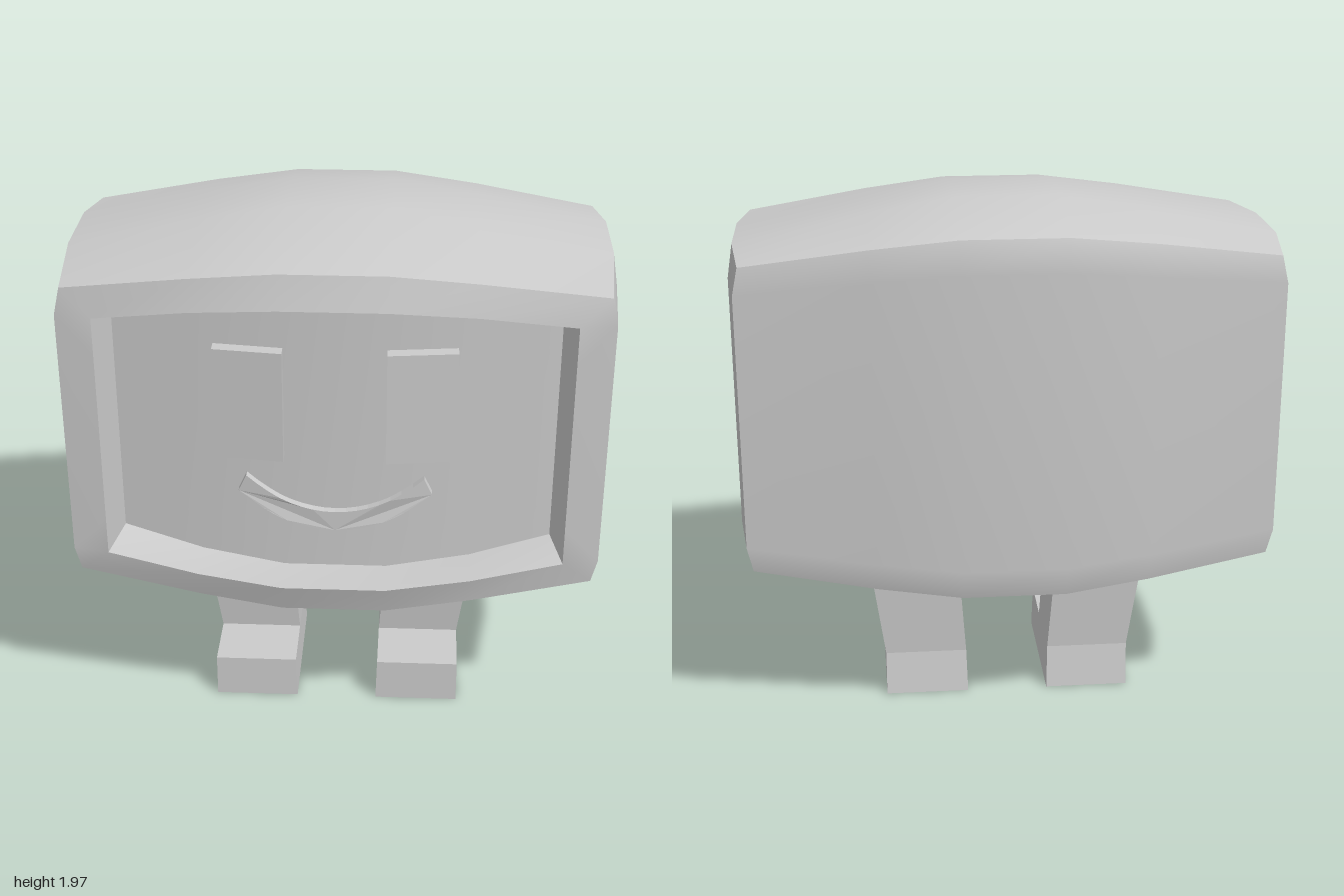
import * as THREE from 'three';
import { mergeVertices } from 'three/addons/utils/BufferGeometryUtils.js';

const material = new THREE.MeshStandardMaterial({ color: 0xcccccc });

// Grid nodes of the bulging body: positions, and how strongly each node bulges
const X = [-0.95, -0.5, -0.19, 0.19, 0.5, 0.95], WX = [0, 0.65, 1, 1, 0.65, 0];
const Z = [-0.445, -0.21, 0.1, 0.445], WYZ = [0, 1, 1, 0];
const MID_Y = 1.22;

const range = (n) => Array.from({ length: n }, (_, i) => i);
const V = (x, y, z) => new THREE.Vector3(x, y, z);

// Bulge weight at any x, linear between nodes
function weightAt(x) {
  const a = Math.abs(x);
  if (a <= 0.19) return 1;
  return a <= 0.5 ? 1 - 0.35 * (a - 0.19) / 0.31 : 0.65 * (0.95 - a) / 0.45;
}
const faceZ = (x) => 0.46 + 0.105 * weightAt(x);

// Body surface point for grid indices (i, j, k)
function bodyPoint(i, j, k) {
  const wx = WX[i], wy = WYZ[j], wz = WYZ[k];
  const x = wx ? X[i] : Math.sign(X[i]) * (0.95 + 0.02 * wy + 0.03 * wz);
  const half = wy ? 0.473 + 0.08 * wx : 0.57 + 0.1 * wx + 0.027 * wz + 0.053 * wx * wz;
  const y = MID_Y + (j < 2 ? -half : half);
  const z = wz ? Z[k] : Math.sign(Z[k]) * (0.445 + 0.085 * wx + 0.015 * wy + 0.02 * wx * wy);
  return V(x, y, z);
}

// Point of a rectangle with bowed top and bottom, set behind the front face
function framePoint(i, j, halfX, halfY, bow, depth) {
  const x = WX[i] ? X[i] : Math.sign(X[i]) * halfX;
  const y = 1.215 + [-1, -0.7, 0.7, 1][j] * (halfY + bow * WX[i]);
  return V(x, y, faceZ(x) - depth);
}
const openingPoint = (i, j) => framePoint(i, j, 0.84, 0.475, 0.08, 0);
const screenPoint = (i, j) => framePoint(i, j, 0.8, 0.447, 0.108, 0.17);

// Smooth surface through rows of points
function sheet(name, rows) {
  const n = rows[0].length, index = [];
  for (let r = 0; r < rows.length - 1; r++) {
    for (let c = 0; c < n - 1; c++) {
      const a = r * n + c, b = a + 1, d = a + n, e = d + 1;
      index.push(a, b, e, a, e, d);
    }
  }
  let geometry = new THREE.BufferGeometry().setFromPoints(rows.flat());
  geometry.setIndex(index);
  geometry = mergeVertices(geometry);
  geometry.computeVertexNormals();
  return named(name, geometry);
}

function named(name, geometry) {
  const mesh = new THREE.Mesh(geometry, material);
  mesh.name = name;
  return mesh;
}

// Flat shape raised from the curved screen
function raised(name, shape, height) {
  const geometry = new THREE.ExtrudeGeometry(shape, { depth: height + 0.02, bevelEnabled: false });
  const p = geometry.attributes.position;
  for (let n = 0; n < p.count; n++) p.setZ(n, p.getZ(n) + faceZ(p.getX(n)) - 0.19);
  geometry.computeVertexNormals();
  return named(name, geometry);
}

// Box with separate bottom and top rectangles, each [x0, x1, z0, z1]
function taperedBox(name, y0, y1, bottom, top) {
  const geometry = new THREE.BoxGeometry(1, 1, 1).toNonIndexed();
  const p = geometry.attributes.position;
  for (let n = 0; n < p.count; n++) {
    const up = p.getY(n) > 0, r = up ? top : bottom;
    p.setXYZ(n, r[p.getX(n) > 0 ? 1 : 0], up ? y1 : y0, r[p.getZ(n) > 0 ? 3 : 2]);
  }
  geometry.computeVertexNormals();
  return named(name, geometry);
}

function createBody() {
  const body = new THREE.Group();
  body.name = 'body';
  const I = range(6), J = range(4), K = range(4);
  const rI = [...I].reverse(), rK = [...K].reverse();

  // Five closed sides
  body.add(
    sheet('backShell', J.map((j) => rI.map((i) => bodyPoint(i, j, 0)))),
    sheet('leftShell', J.map((j) => rK.map((k) => bodyPoint(5, j, k)))),
    sheet('rightShell', J.map((j) => K.map((k) => bodyPoint(0, j, k)))),
    sheet('topShell', rK.map((k) => I.map((i) => bodyPoint(i, 3, k)))),
    sheet('bottomShell', K.map((k) => I.map((i) => bodyPoint(i, 0, k)))),
  );

  // Front rim, running anticlockwise round the opening
  const loop = [
    ...I.map((i) => [i, 0]), [5, 1], [5, 2],
    ...rI.map((i) => [i, 3]), [0, 2], [0, 1], [0, 0],
  ];
  body.add(sheet('frontRim', [
    loop.map(([i, j]) => bodyPoint(i, j, 3)),
    loop.map(([i, j]) => openingPoint(i, j)),
  ]));

  // Recess walls and the screen behind them
  [[0, 5], [5, 8], [8, 13], [13, 16]].forEach(([from, to], n) => {
    const part = loop.slice(from, to + 1);
    body.add(sheet('recessWall' + (n + 1), [
      part.map(([i, j]) => openingPoint(i, j)),
      part.map(([i, j]) => screenPoint(i, j)),
    ]));
  });
  body.add(sheet('screen', J.map((j) => I.map((i) => screenPoint(i, j)))));
  return body;
}

function createFace() {
  const face = new THREE.Group();
  face.name = 'face';
  // Eyes
  for (const s of [-1, 1]) {
    const [x0, x1] = s > 0 ? [0.185, 0.435] : [-0.435, -0.185];
    const eye = new THREE.Shape([
      new THREE.Vector2(x0, 1.125), new THREE.Vector2(x1, 1.125),
      new THREE.Vector2(x1, 1.555), new THREE.Vector2(x0, 1.555),
    ]);
    face.add(raised(s > 0 ? 'leftEye' : 'rightEye', eye, 0.05));
  }
  // Smile: a curved band between two arcs
  const arc = (half, low, rise) => range(17).map((n) => {
    const t = n / 8 - 1;
    return new THREE.Vector2(half * t, low + rise * t * t);
  });
  const mouth = new THREE.Shape([...arc(0.355, 0.83, 0.15), ...arc(0.325, 0.907, 0.138).reverse()]);
  face.add(raised('mouth', mouth, 0.03));
  return face;
}

export function createModel() {
  const model = new THREE.Group();
  model.name = 'boxCharacter';
  model.add(createBody(), createFace());

  // Legs with forward-pointing feet
  for (const s of [-1, 1]) {
    const rect = (a, b, z0, z1) => (s > 0 ? [a, b, z0, z1] : [-b, -a, z0, z1]);
    const leg = new THREE.Group();
    leg.name = s > 0 ? 'leftLeg' : 'rightLeg';
    leg.add(
      taperedBox('shin', 0.165, 0.57, rect(0.16, 0.473, -0.205, 0.09), rect(0.19, 0.53, -0.225, 0.122)),
      taperedBox('foot', 0, 0.165, rect(0.155, 0.473, -0.23, 0.33), rect(0.16, 0.473, -0.205, 0.325)),
    );
    model.add(leg);
  }
  return model;
}
